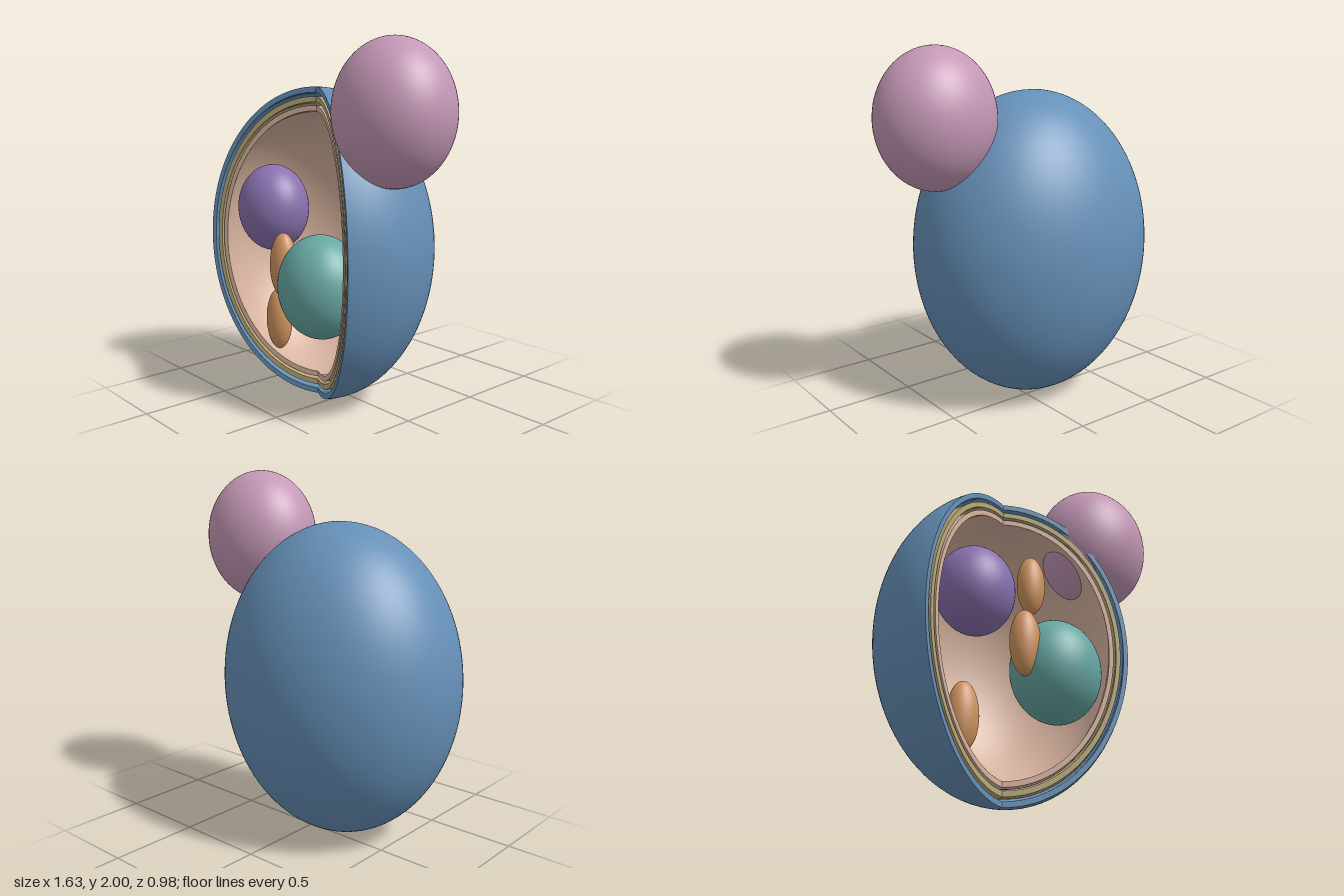
import * as THREE from 'three';
import { mergeGeometries } from 'three/addons/utils/BufferGeometryUtils.js';

const paint = (name, color, side = THREE.FrontSide) => {
  const m = new THREE.MeshStandardMaterial({ color, side });
  m.name = name;
  return m;
};

// Unit sphere shell with a 120 degree wedge missing at the front; the cut is capped.
function cutShell(outer, inner) {
  const start = Math.PI * 5 / 6, sweep = Math.PI * 4 / 3;
  const parts = [outer, inner].map(r => new THREE.SphereGeometry(r, 72, 56, start, sweep));
  const ring = new THREE.Shape();
  ring.absarc(0, 0, outer, -Math.PI / 2, Math.PI / 2, false);
  ring.absarc(0, 0, inner, Math.PI / 2, -Math.PI / 2, true);
  // right-hand cap, then left-hand cap turned to face forward
  parts.push(new THREE.ShapeGeometry(ring, 64).rotateY(-Math.PI / 6));
  parts.push(new THREE.ShapeGeometry(ring, 64).rotateY(-Math.PI * 5 / 6));
  // the second cap was turned over, so reverse it to face the opening
  const cap = parts[3], idx = cap.index.array;
  for (let i = 0; i < idx.length; i += 3) [idx[i], idx[i + 1]] = [idx[i + 1], idx[i]];
  const n = cap.attributes.normal.array;
  for (let i = 0; i < n.length; i++) n[i] *= -1;
  return mergeGeometries(parts);
}

export function createModel() {
  const model = new THREE.Group();
  model.name = 'buddingCell';

  const blue = paint('wallBlue', 0x6690b8, THREE.DoubleSide);
  const khaki = paint('layerKhaki', 0xb8a878, THREE.DoubleSide);
  const peach = paint('membranePeach', 0xd8b4a0, THREE.DoubleSide);
  const pink = paint('budPink', 0xc498b6);
  const purple = paint('nucleusPurple', 0x8a72b0);
  const teal = paint('vacuoleTeal', 0x68a8a4);
  const orange = paint('organelleOrange', 0xd09460);

  // Nested cut-open layers
  const body = new THREE.Group();
  body.name = 'cellBody';
  body.position.set(-0.12, 0.873, 0.11);
  body.scale.set(0.695, 0.873, 0.6);
  for (const [name, outer, inner, mat] of [
    ['cellWall', 1, 0.965, blue],
    ['middleLayer', 0.94, 0.905, khaki],
    ['innerMembrane', 0.885, 0.85, peach],
  ]) {
    const mesh = new THREE.Mesh(cutShell(outer, inner), mat);
    mesh.name = name;
    body.add(mesh);
  }
  model.add(body);

  // Bud and the bodies inside the cell, all ellipsoids
  const ball = new THREE.SphereGeometry(1, 56, 40);
  for (const [name, mat, centre, radii] of [
    ['bud', pink, [0.49, 1.627, 0.12], [0.33, 0.373, 0.295]],
    ['nucleus', purple, [-0.36, 1.07, 0.23], [0.215, 0.243, 0.19]],
    ['vacuole', teal, [0.105, 0.703, 0.27], [0.248, 0.28, 0.22]],
    ['organelleTop', orange, [0.102, 1.312, 0.05], [0.084, 0.18, 0.07]],
    ['organelleMiddle', orange, [-0.126, 0.79, 0.34], [0.084, 0.18, 0.07]],
    ['organelleBottom', orange, [-0.387, 0.4, 0.18], [0.084, 0.18, 0.07]],
  ]) {
    const mesh = new THREE.Mesh(ball, mat);
    mesh.name = name;
    mesh.position.set(...centre);
    mesh.scale.set(...radii);
    model.add(mesh);
  }
  return model;
}
